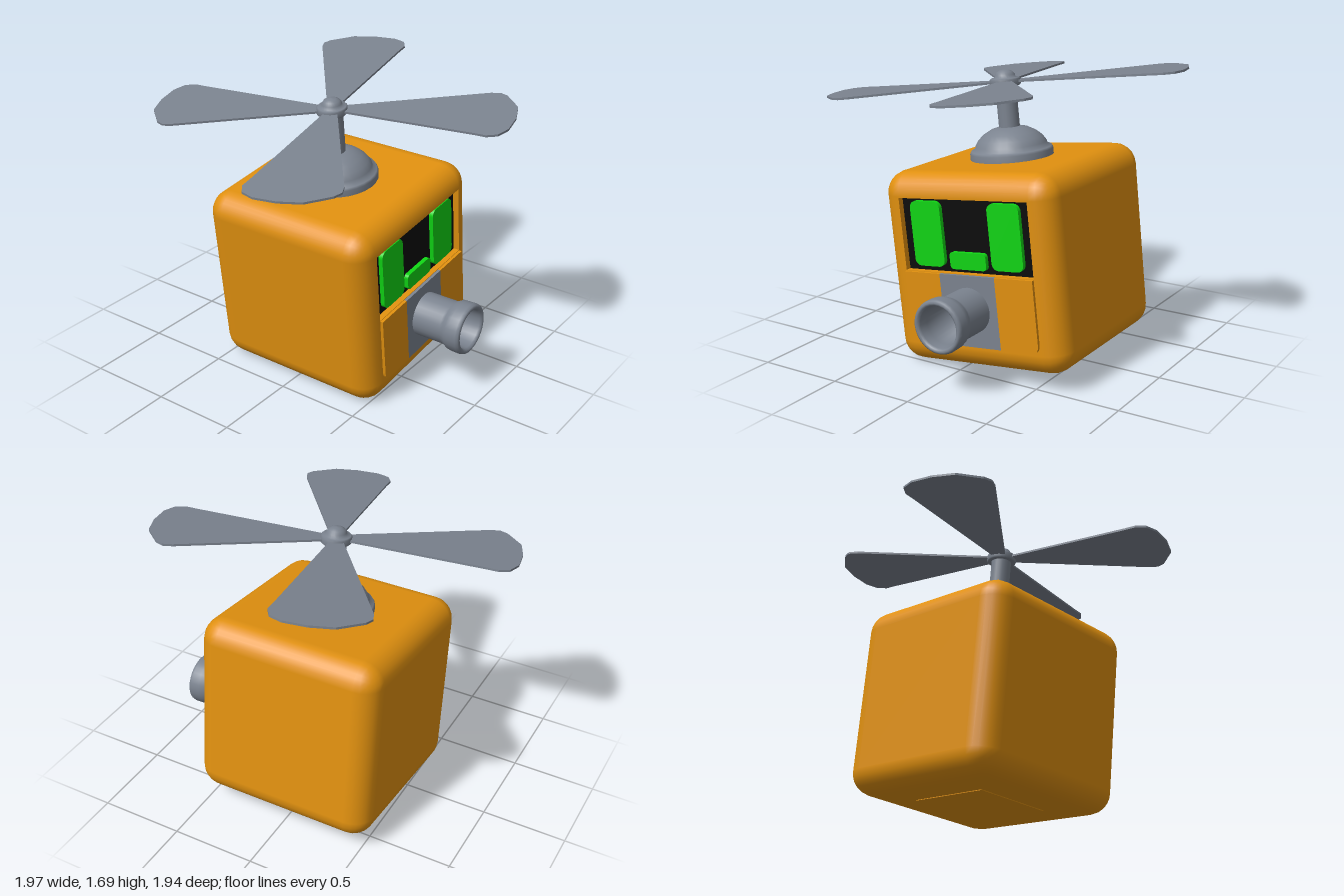
import * as THREE from 'three';
import { RoundedBoxGeometry } from 'three/addons/geometries/RoundedBoxGeometry.js';

const mat = (name, color) => Object.assign(new THREE.MeshStandardMaterial({ color }), { name });

// Rounded rectangle given by its centre, size and corner radius
function roundRect(cx, cy, w, h, r) {
  const s = new THREE.Shape(), x = w / 2, y = h / 2;
  s.absarc(cx + x - r, cy + y - r, r, 0, Math.PI / 2);
  s.absarc(cx - x + r, cy + y - r, r, Math.PI / 2, Math.PI);
  s.absarc(cx - x + r, cy - y + r, r, Math.PI, Math.PI * 1.5);
  s.absarc(cx + x - r, cy - y + r, r, Math.PI * 1.5, Math.PI * 2);
  s.closePath();
  return s;
}

function rect(x0, y0, x1, y1) {
  return new THREE.Shape([[x0, y0], [x1, y0], [x1, y1], [x0, y1]].map(p => new THREE.Vector2(...p)));
}

const extrude = (shape, depth) =>
  new THREE.ExtrudeGeometry(shape, { depth, bevelEnabled: false, curveSegments: 5 });

const lathe = (pts, n) => new THREE.LatheGeometry(pts.map(p => new THREE.Vector2(...p)), n);

export function createModel() {
  const orange = mat('orange paint', 0xe0900f);
  const grey = mat('grey metal', 0x7b838f);
  const black = mat('black screen', 0x0a0a0a);
  const green = mat('green light', 0x10d414);

  const root = new THREE.Group();
  root.name = 'flyingCubeRobot';
  // Everything leans to one side
  const robot = new THREE.Group();
  robot.name = 'robot';
  robot.rotation.z = 0.111;
  robot.position.set(0.095, 0.602, 0);
  root.add(robot);

  const add = (name, geo, m, x = 0, y = 0, z = 0, parent = robot) => {
    const mesh = new THREE.Mesh(geo, m);
    mesh.name = name;
    mesh.position.set(x, y, z);
    parent.add(mesh);
    return mesh;
  };

  const H = 0.555, R = 0.13, F = H - R, RECESS = 0.04;

  // Body shell: rounded cube whose flat front is left open for the face
  const cube = new RoundedBoxGeometry(2 * H, 2 * H, 2 * H, 3, R);
  const shell = cube.index ? cube.toNonIndexed() : cube;
  const p = shell.attributes.position, nrm = shell.attributes.normal;
  const pos = [], normals = [];
  for (let i = 0; i < p.count; i += 3) {
    if ([0, 1, 2].every(k => p.getZ(i + k) > H - 1e-4)) continue;
    for (let k = i; k < i + 3; k++) {
      pos.push(p.getX(k), p.getY(k), p.getZ(k));
      normals.push(nrm.getX(k), nrm.getY(k), nrm.getZ(k));
    }
  }
  const body = new THREE.BufferGeometry();
  body.setAttribute('position', new THREE.Float32BufferAttribute(pos, 3));
  body.setAttribute('normal', new THREE.Float32BufferAttribute(normals, 3));
  add('body', body, orange);

  // Front frame with the screen recess
  const frame = rect(-F, -F, F, F);
  frame.holes.push(rect(-0.419, 0.003, 0.419, 0.419));
  add('frontFrame', extrude(frame, RECESS), orange, 0, 0, H - RECESS);

  // Screen, eyes and mouth
  add('screen', new THREE.BoxGeometry(0.845, 0.425, 0.008), black, 0, 0.211, H - RECESS);
  for (const side of [-1, 1]) {
    add(side > 0 ? 'leftEye' : 'rightEye',
      extrude(roundRect(side * 0.255, 0.217, 0.2, 0.37, 0.04), 0.03), green, 0, 0, H - RECESS);
  }
  add('mouth', extrude(roundRect(0, 0.073, 0.236, 0.096, 0.022), 0.03), green, 0, 0, H - RECESS);

  // Lower face panels, with one rounded outer corner each, around a grey strip
  for (const side of [-1, 1]) {
    const s = new THREE.Shape();
    s.moveTo(side * 0.18, 0);
    s.lineTo(side * 0.419, 0);
    s.lineTo(side * 0.419, -0.36);
    s.quadraticCurveTo(side * 0.419, -0.408, side * 0.37, -0.408);
    s.lineTo(side * 0.18, -0.408);
    s.closePath();
    add(side > 0 ? 'leftCheekPanel' : 'rightCheekPanel', extrude(s, 0.018), orange, 0, 0, H);
  }
  add('centreStrip', extrude(rect(-0.18, -0.408, 0.18, 0), 0.018), grey, 0, 0, H);

  // Hollow nozzle
  const nozzle = lathe([[0.13, 0], [0.13, 0.185], [0.136, 0.205], [0.147, 0.225], [0.151, 0.25],
    [0.152, 0.3], [0.147, 0.316], [0.136, 0.322], [0.124, 0.318], [0.117, 0.305],
    [0.113, 0.25], [0.108, 0.06], [0, 0.06]], 28);
  nozzle.rotateX(Math.PI / 2);
  add('nozzle', nozzle, grey, 0, -0.196, 0.565);

  // Plate under the body
  add('basePlate', new THREE.BoxGeometry(0.52, 0.008, 0.5), orange, 0, -H, 0);

  // Rotor mount and shaft
  add('rotorMount', lathe([[0.24, 0.54], [0.24, 0.59], [0.232, 0.603], [0.212, 0.608], [0.206, 0.63],
    [0.185, 0.662], [0.15, 0.693], [0.105, 0.717], [0.06, 0.728], [0, 0.73]], 28), grey);
  add('shaft', new THREE.CylinderGeometry(0.06, 0.06, 0.27, 20), grey, 0, 0.845, 0);

  // Rotor: hub, cap and four blades
  const rotor = new THREE.Group();
  rotor.name = 'rotor';
  rotor.position.y = 0.985;
  rotor.scale.x = 1.02;
  robot.add(rotor);
  add('hub', lathe([[0, -0.024], [0.08, -0.024], [0.087, -0.017], [0.087, 0.014], [0.08, 0.021],
    [0.06, 0.022], [0.057, 0.038], [0.045, 0.055], [0.025, 0.065], [0, 0.068]], 24), grey, 0, 0, 0, rotor);

  const outline = [[0.004, 0.07], [-0.07, 0.045], [-0.575, 0.67], [-0.6, 0.72], [-0.587, 0.77],
    [-0.49, 0.89], [-0.37, 0.945], [-0.24, 0.972], [-0.16, 0.955], [-0.122, 0.905], [-0.115, 0.84]];
  const blade = extrude(new THREE.Shape(outline.map(q => new THREE.Vector2(...q))), 0.012);
  blade.rotateX(-Math.PI / 2);
  for (let i = 0; i < 4; i++) {
    add('blade' + (i + 1), blade, grey, 0, -0.006, 0, rotor).rotation.y = i * Math.PI / 2;
  }
  return root;
}
